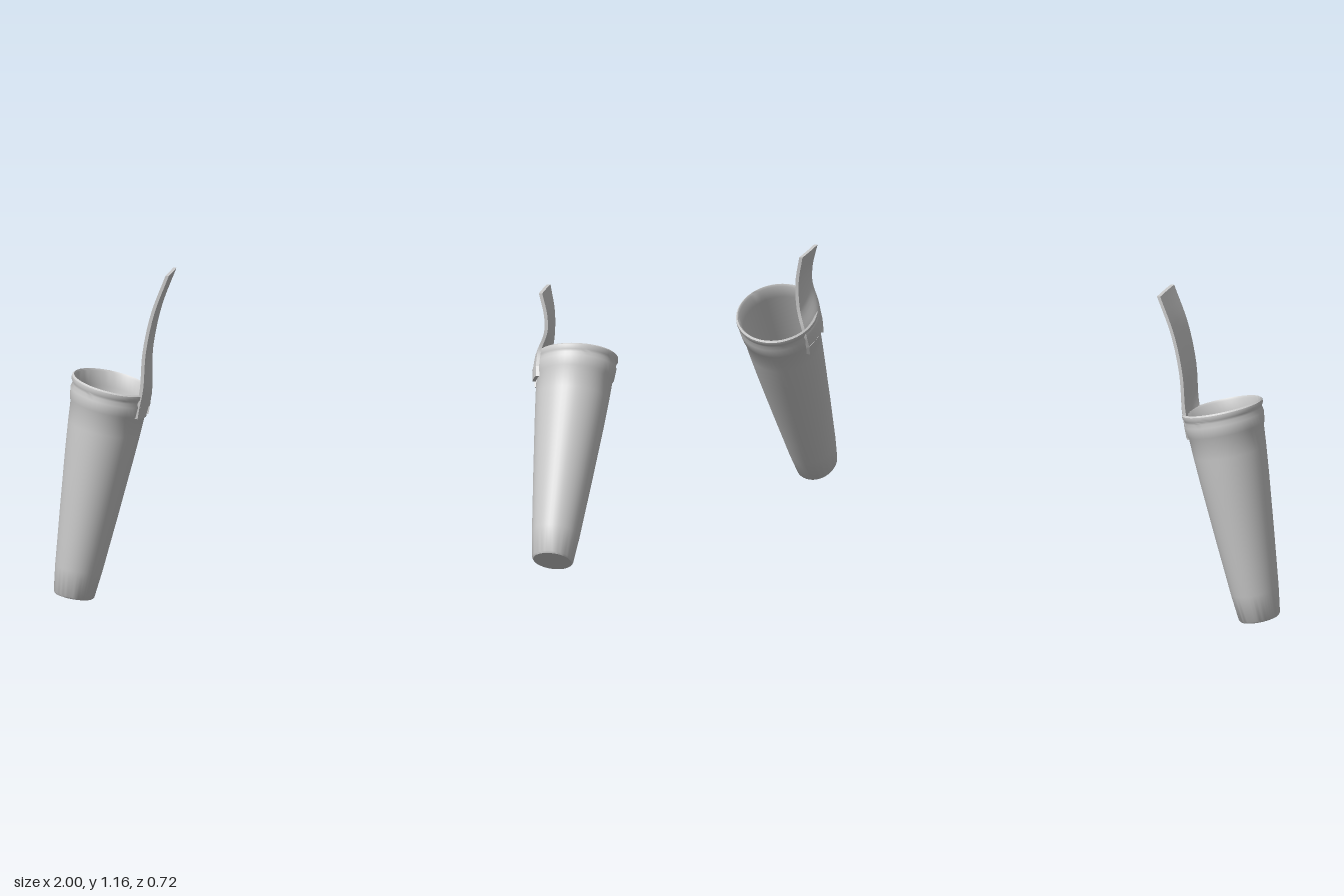
import * as THREE from 'three';
import { toCreasedNormals } from 'three/addons/utils/BufferGeometryUtils.js';

const grey = new THREE.MeshStandardMaterial({ color: 0xcccccc, side: THREE.DoubleSide });
grey.name = 'light grey';

// Radius and height: floor, tapered wall, raised band, rolled lip, then the lining
const PROFILE = [
  [0, 0], [0.078, 0], [0.083, 0.006], [0.095, 0.1], [0.104, 0.2], [0.113, 0.3], [0.121, 0.4],
  [0.129, 0.5], [0.136, 0.6], [0.139, 0.665], [0.144, 0.675], [0.147, 0.71], [0.143, 0.724],
  [0.145, 0.732], [0.149, 0.74], [0.148, 0.75], [0.142, 0.755], [0.137, 0.748], [0.134, 0.7],
  [0.113, 0.4], [0.096, 0.2], [0.078, 0.03], [0, 0.03],
];

// Tapered oval tube; the rim rises towards the outer back (outer = sign of x away from the strap)
function makeBody(outer) {
  const geo = new THREE.LatheGeometry(PROFILE.map(([r, y]) => new THREE.Vector2(r, y)), 48);
  const p = geo.attributes.position;
  for (let i = 0; i < p.count; i++) {
    const x = p.getX(i), y = p.getY(i), z = p.getZ(i);
    const r = Math.hypot(x, z) || 1;
    const lift = THREE.MathUtils.smoothstep(y, 0.45, 0.75) * 0.012;
    const towards = (x * outer * 0.7 - z * 0.7) / r;
    p.setXYZ(i, x * (0.86 + 0.13 * y), y + lift * (1 + towards), z);
  }
  return toCreasedNormals(geo, 0.7);
}

// Curved strip between two edge curves, bowed along x; u0..u1 picks part of its width
function makeStrip(rows, side, u0 = 0, u1 = 1, steps = 20) {
  const edge = (k) => new THREE.CatmullRomCurve3(rows.map((r) => new THREE.Vector3(...r[k])));
  const a = edge(0), b = edge(1), n = 8, ring = 2 * (n + 1);
  const pos = [], index = [];
  for (let i = 0; i <= steps; i++) {
    const t = i / steps, f = t * (rows.length - 1), k = Math.min(Math.floor(f), rows.length - 2);
    const bow = THREE.MathUtils.lerp(rows[k][2], rows[k + 1][2], f - k);
    const A = a.getPoint(t), B = b.getPoint(t);
    for (let j = 0; j < ring; j++) {
      const back = j > n;
      const u = u0 + (u1 - u0) * (back ? ring - 1 - j : j) / n;
      const q = A.clone().lerp(B, u);
      pos.push(q.x + side * (bow * 4 * u * (1 - u) - (back ? 0.012 : 0)), q.y, q.z);
    }
  }
  const quad = (p, q, r, s) => (side > 0 ? index.push(p, q, r, p, r, s) : index.push(p, r, q, p, s, r));
  for (let i = 0; i < steps; i++) {
    for (let j = 0; j < ring; j++) {
      const j2 = (j + 1) % ring, o = i * ring;
      quad(o + j, o + j2, o + ring + j2, o + ring + j);
    }
  }
  const top = steps * ring;
  for (let j = 0; j < n; j++) {
    quad(j, ring - 1 - j, ring - 2 - j, j + 1);
    quad(top + j, top + j + 1, top + ring - 2 - j, top + ring - 1 - j);
  }
  const geo = new THREE.BufferGeometry();
  geo.setAttribute('position', new THREE.Float32BufferAttribute(pos, 3));
  geo.setIndex(index);
  return toCreasedNormals(geo, 0.7);
}

// Each sheath: base point, axis, strap side, strap rows and tab rows as [front edge, back edge, bow]
const SHEATHS = [
  {
    name: 'rightSheath', side: 1, base: [-0.932, 0.014, -0.204], axis: [0.13, 0.735, -0.012],
    strap: [
      [[-0.69, 0.69, -0.133], [-0.69, 0.69, -0.287], 0.024],
      [[-0.676, 0.76, -0.133], [-0.676, 0.76, -0.287], 0.018],
      [[-0.666, 0.89, -0.13], [-0.666, 0.89, -0.289], 0.006],
      [[-0.636, 1.03, -0.129], [-0.636, 1.03, -0.289], 0.003],
      [[-0.585, 1.165, -0.129], [-0.585, 1.165, -0.289], 0.001],
    ],
    tab: [
      [[-0.696, 0.655, -0.134], [-0.696, 0.655, -0.284], 0.024],
      [[-0.689, 0.695, -0.133], [-0.689, 0.695, -0.287], 0.024],
    ],
  },
  {
    name: 'leftSheath', side: -1, base: [0.836, 0.281, 0.291], axis: [0.02, 0.65, -0.4],
    strap: [
      [[0.727, 0.91, -0.004], [0.727, 0.826, -0.14], 0.022],
      [[0.732, 0.965, -0.022], [0.732, 0.882, -0.165], 0.018],
      [[0.754, 1.03, -0.02], [0.752, 0.97, -0.17], 0.007],
      [[0.753, 1.09, -0.02], [0.753, 1.07, -0.182], 0.003],
      [[0.735, 1.165, -0.022], [0.735, 1.165, -0.195], 0.001],
    ],
    tab: [
      [[0.731, 0.88, 0.015], [0.731, 0.796, -0.121], 0.022],
      [[0.727, 0.914, -0.006], [0.727, 0.83, -0.142], 0.022],
    ],
  },
];

export function createModel() {
  const model = new THREE.Group();
  model.name = 'sheathPair';
  for (const s of SHEATHS) {
    const sheath = new THREE.Group();
    sheath.name = s.name;
    const add = (name, geo) => {
      const mesh = new THREE.Mesh(geo, grey);
      mesh.name = name;
      sheath.add(mesh);
      return mesh;
    };
    // Leaning tube
    const body = add('body', makeBody(-s.side));
    body.position.set(...s.base);
    body.quaternion.setFromUnitVectors(new THREE.Vector3(0, 1, 0), new THREE.Vector3(...s.axis).normalize());
    // Hanging strap on the inner side, with two tabs below the rim
    add('strap', makeStrip(s.strap, s.side));
    add('frontTab', makeStrip(s.tab, s.side, 0, 0.34, 2));
    add('backTab', makeStrip(s.tab, s.side, 0.66, 1, 2));
    model.add(sheath);
  }
  return model;
}
